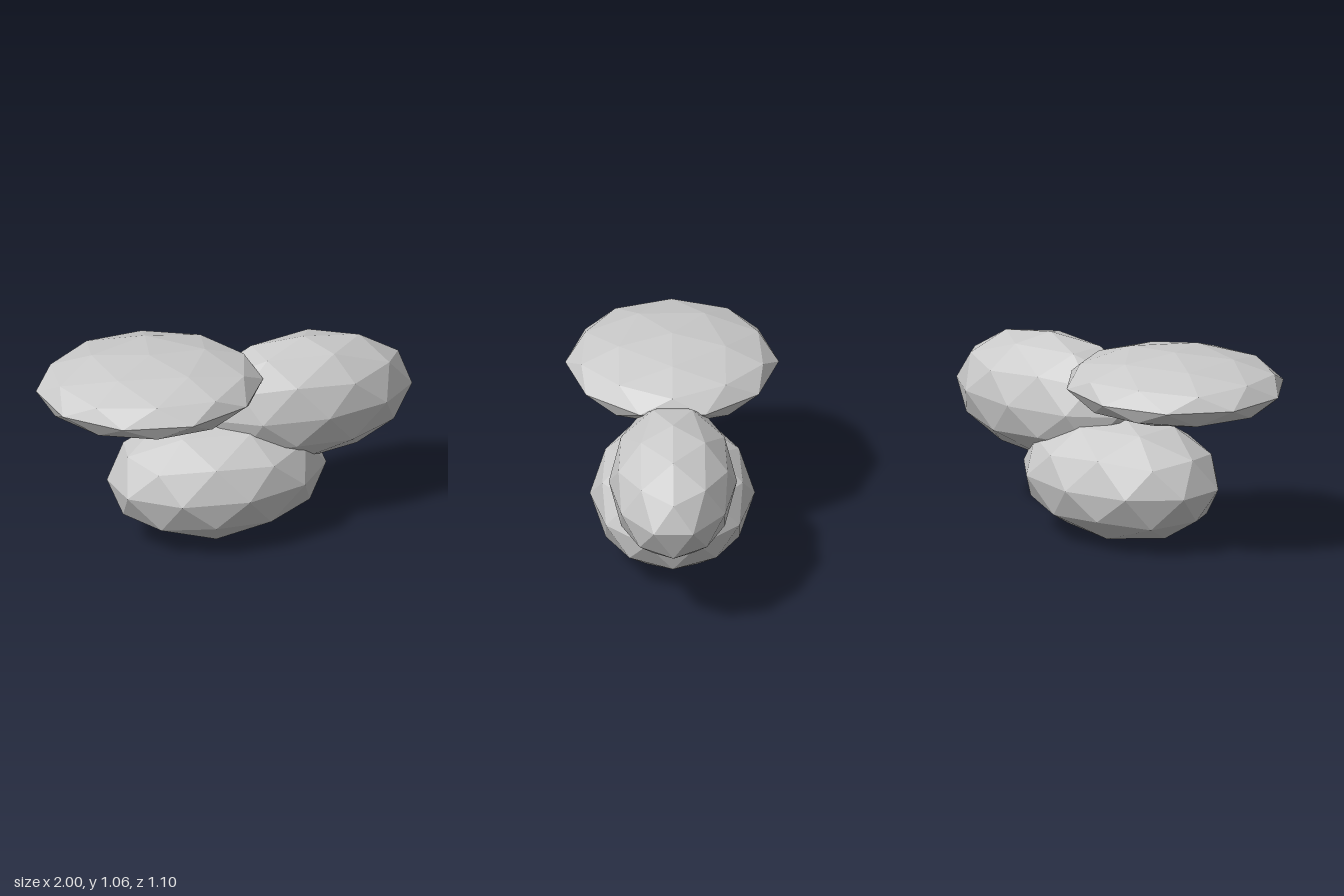
import * as THREE from 'three';

const material = new THREE.MeshStandardMaterial({ color: 0xcccccc, flatShading: true });

// Faceted ellipsoid: 80-sided ball standing on a vertex, stretched along each axis
function blob(name, center, radii) {
  const geometry = new THREE.IcosahedronGeometry(1, 1);
  geometry.rotateZ(-Math.atan(2 / (1 + Math.sqrt(5)))); // bring a corner to the top
  geometry.scale(...radii);
  geometry.computeVertexNormals();
  const mesh = new THREE.Mesh(geometry, material);
  mesh.name = name;
  mesh.position.set(...center);
  return mesh;
}

export function createModel() {
  const group = new THREE.Group();
  group.name = 'foliageCluster';
  group.add(
    blob('lowerClump', [-0.057, 0.33, 0], [0.589, 0.33, 0.425]),
    blob('leftClump', [0.435, 0.67, 0], [0.594, 0.33, 0.33]),
    blob('rightFlatClump', [-0.435, 0.89, 0], [0.594, 0.17, 0.55])
  );
  return group;
}
